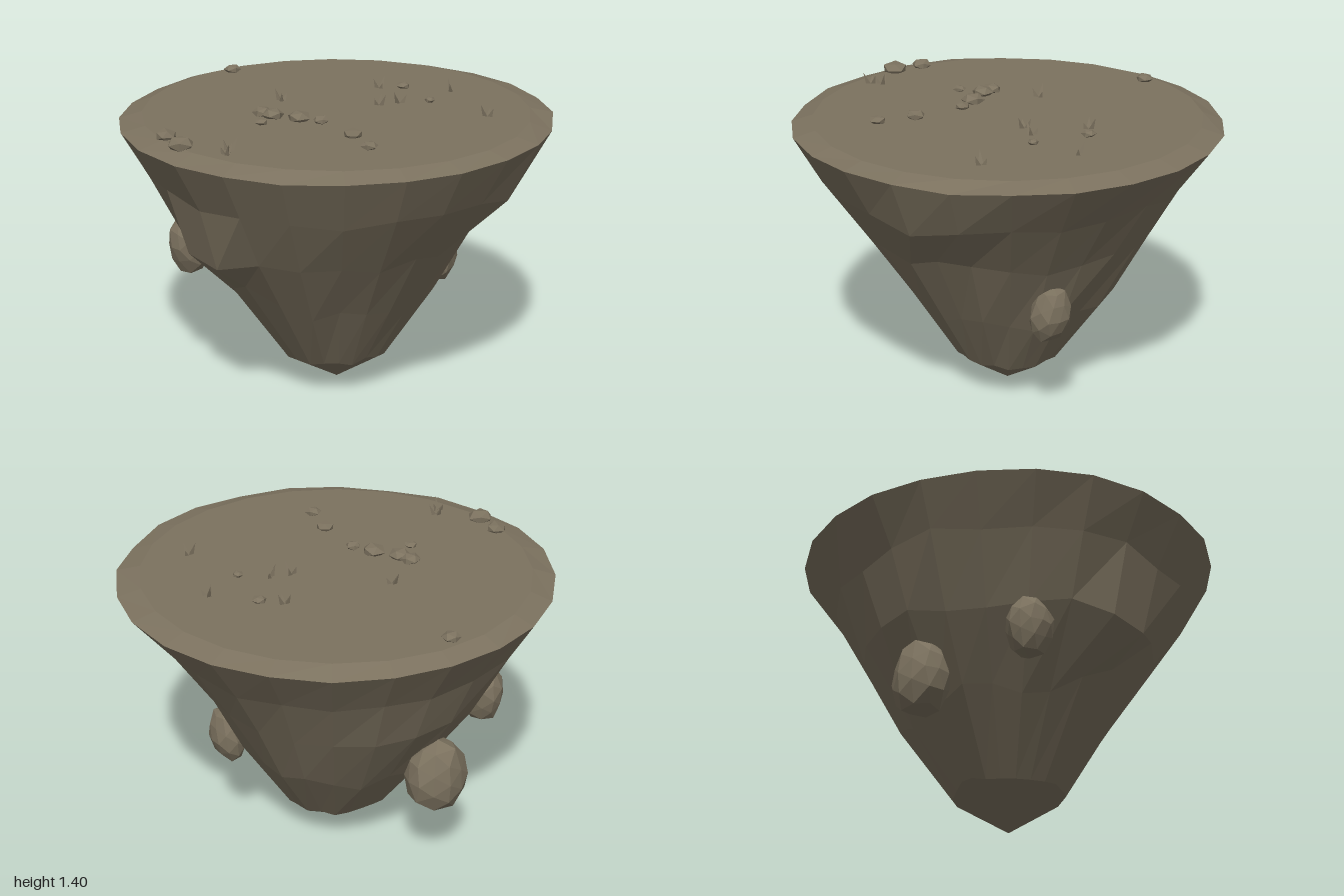
import * as THREE from 'three';

const earth = new THREE.MeshStandardMaterial({ color: 0x7c725f, flatShading: true });
earth.name = 'earth brown';

// Seeded random in the range -1..1
function seeded(seed) {
  return () => {
    seed = (seed * 16807) % 2147483647;
    return (seed / 2147483647) * 2 - 1;
  };
}

// Rings from the tip to the top: height, radius towards +x, +z, -x, -z, vertical roughness
const RINGS = [
  [0.18, [0.27, 0.25, 0.28, 0.26], 0.02],
  [0.49, [0.46, 0.44, 0.49, 0.50], 0.05],
  [0.82, [0.63, 0.65, 0.74, 0.72], 0.03],
  [1.10, [0.82, 0.86, 0.87, 0.85], 0.03],
  [1.32, [1.00, 0.985, 1.00, 0.99], 0.008],
  [1.35, [0.89, 0.89, 0.89, 0.90], 0],
];
const SIDES = 24;
const SLOPE = 0.65; // radius gained per unit of height

// Overhanging ledges as 'ring,side': [radius, height]
const LEDGES = {
  '3,3': [0.86, 1.09], '3,4': [0.86, 1.05],
  '2,3': [0.66, 0.86], '2,4': [0.64, 0.85],
  '2,11': [0.77, 0.78], '2,12': [0.78, 0.80],
  '1,10': [0.54, 0.57], '1,11': [0.60, 0.65], '1,12': [0.55, 0.58],
};

function islandGeometry() {
  const rand = seeded(77);
  const pos = [0, 0, 0];
  const index = [];
  RINGS.forEach(([y, radii, rough], k) => {
    for (let i = 0; i < SIDES; i++) {
      const q = i / (SIDES / 4);
      const a = q * Math.PI / 2;
      const q0 = Math.floor(q);
      const dy = rand() * rough;
      const base = THREE.MathUtils.lerp(radii[q0], radii[(q0 + 1) % 4], q - q0);
      // Uneven corners slide along the slope
      const [r, h] = LEDGES[`${k},${i}`] ?? [base + dy * SLOPE + rand() * rough * 0.25, y + dy];
      pos.push(Math.cos(a) * r, h, Math.sin(a) * r);
    }
  });
  pos.push(0, 1.35, 0);
  const top = pos.length / 3 - 1;
  const at = (k, i) => 1 + k * SIDES + (i % SIDES);
  const last = RINGS.length - 1;
  for (let i = 0; i < SIDES; i++) {
    index.push(0, at(0, i), at(0, i + 1));
    for (let k = 0; k < last; k++) {
      const a = at(k, i), b = at(k, i + 1), c = at(k + 1, i), d = at(k + 1, i + 1);
      index.push(a, c, b, b, c, d);
    }
    index.push(at(last, i), top, at(last, i + 1));
  }
  const g = new THREE.BufferGeometry();
  g.setAttribute('position', new THREE.Float32BufferAttribute(pos, 3));
  g.setIndex(index);
  g.computeVertexNormals();
  return g;
}

// Faceted rock; shared corners move together because the offset depends on position
function rockGeometry(detail, seed) {
  const g = new THREE.IcosahedronGeometry(1, detail);
  const p = g.attributes.position;
  const v = new THREE.Vector3();
  for (let i = 0; i < p.count; i++) {
    v.fromBufferAttribute(p, i);
    const n = Math.sin(v.x * 5 + seed) + Math.sin(v.y * 4 + seed * 2) + Math.sin(v.z * 6 - seed);
    v.multiplyScalar(1 + n * 0.04);
    p.setXYZ(i, v.x, v.y, v.z);
  }
  g.computeVertexNormals();
  return g;
}

function addMesh(parent, name, geometry) {
  const m = new THREE.Mesh(geometry, earth);
  m.name = name;
  parent.add(m);
  return m;
}

export function createModel() {
  const group = new THREE.Group();
  group.name = 'floatingIsland';
  addMesh(group, 'island', islandGeometry());

  // Boulders stuck in the sides: x, y, z, then radii and tilt
  [
    [0.525, 0.57, 0.095, 0.085, 0.15, 0.10, -0.15],
    [-0.18, 0.53, -0.62, 0.155, 0.175, 0.125, 0],
    [-0.60, 0.70, -0.34, 0.105, 0.145, 0.11, 0],
  ].forEach(([x, y, z, rx, ry, rz, tilt], i) => {
    const m = addMesh(group, 'boulder', rockGeometry(1, i + 1));
    m.position.set(x, y, z);
    m.scale.set(rx, ry, rz);
    m.rotation.z = tilt;
  });

  // Pebbles on the top: x, z, radius
  [
    [-0.09, -0.835, 0.043], [-0.86, -0.02, 0.05], [-0.865, 0.125, 0.062], [-0.41, 0.02, 0.032],
    [-0.33, -0.11, 0.048], [-0.31, -0.05, 0.053], [-0.23, 0.05, 0.056], [-0.17, 0.14, 0.037],
    [-0.16, 0.39, 0.045], [-0.19, 0.57, 0.04], [0.46, -0.14, 0.034], [0.43, 0.13, 0.026],
  ].forEach(([x, z, r], i) => {
    const m = addMesh(group, 'pebble', rockGeometry(0, i + 4));
    m.position.set(x, 1.362, z);
    m.scale.set(r, r * 0.55, r);
    m.rotation.y = i * 1.3;
  });

  // Tufts of three leaning blades
  const blade = new THREE.ConeGeometry(0.014, 0.065, 3);
  blade.translate(0, 0.0325, 0);
  [
    [-0.14, -0.26], [0.37, -0.20], [0.21, 0.04], [0.31, 0.06],
    [0.63, 0.03], [-0.71, 0.28], [-0.745, 0.32], [0.53, 0.45],
  ].forEach(([x, z], t) => {
    const tuft = new THREE.Group();
    tuft.name = 'grassTuft';
    tuft.position.set(x, 1.345, z);
    for (let i = 0; i < 3; i++) {
      const a = t * 1.7 + i * Math.PI * 2 / 3;
      const m = addMesh(tuft, 'grassBlade', blade);
      m.position.set(Math.cos(a) * 0.012, 0, Math.sin(a) * 0.012);
      m.rotation.set(Math.sin(a) * 0.4, 0, -Math.cos(a) * 0.4);
      m.scale.y = 0.6 + i * 0.2;
    }
    group.add(tuft);
  });

  return group;
}
